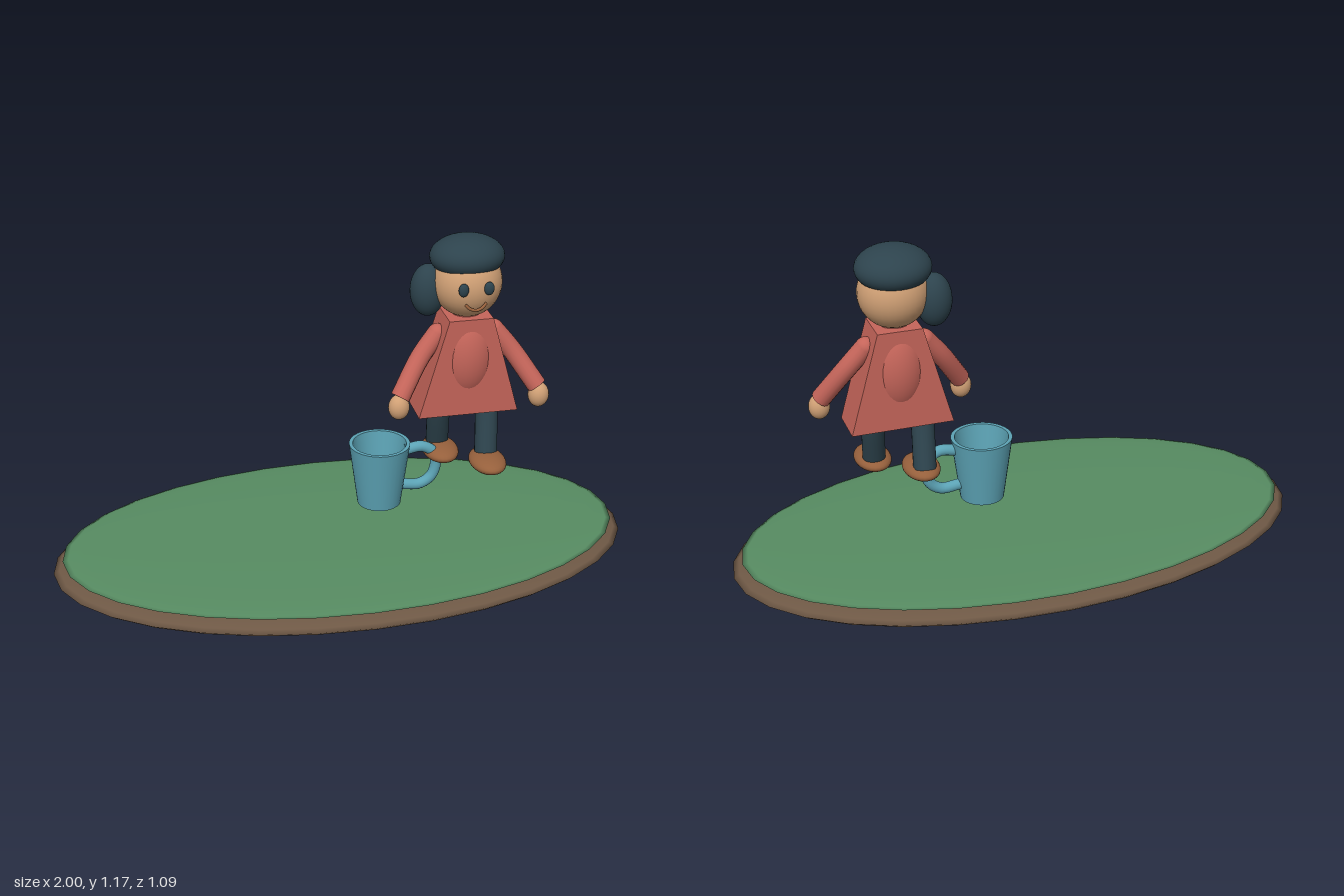
import * as THREE from 'three';

const mat = (name, color, side = THREE.FrontSide) => {
  const m = new THREE.MeshStandardMaterial({ color, side });
  m.name = name;
  return m;
};

export function createModel() {
  const model = new THREE.Group();
  const grass = mat('grass green', 0x578c62);
  const earth = mat('earth brown', 0x6e5845);
  const skin = mat('skin', 0xd0a075);
  const dark = mat('dark slate', 0x2d434d, THREE.DoubleSide);
  const red = mat('coral red', 0xc5655a);
  const leather = mat('shoe brown', 0x96603c);
  const teal = mat('mug teal', 0x5ca3b5);

  const add = (parent, name, geometry, material, pos = [0, 0, 0]) => {
    const mesh = new THREE.Mesh(geometry, material);
    mesh.name = name;
    mesh.position.set(...pos);
    parent.add(mesh);
    return mesh;
  };
  const ellipsoid = (parent, name, material, pos, radii, w = 32, h = 20) =>
    add(parent, name, new THREE.SphereGeometry(1, w, h).scale(...radii), material, pos);
  const tube = (parent, name, material, points, radius) => {
    const curve = new THREE.CatmullRomCurve3(points.map(p => new THREE.Vector3(...p)));
    return add(parent, name, new THREE.TubeGeometry(curve, 28, radius, 16), material);
  };

  // Ground: two flattened ellipsoids
  ellipsoid(model, 'earthBase', earth, [0, 0.06, 0], [1, 0.06, 0.545], 32, 16);
  ellipsoid(model, 'grassTop', grass, [0, 0.105, 0], [0.967, 0.018, 0.525], 32, 16);

  // Mug: hollow tapered cup with a looped handle
  const mug = new THREE.Group();
  mug.name = 'mug';
  mug.position.set(0.13, 0, 0);
  model.add(mug);
  const section = (name, pts) =>
    add(mug, name, new THREE.LatheGeometry(pts.map(p => new THREE.Vector2(...p)), 32), teal);
  section('mugBottom', [[0, 0.215], [0.075, 0.215]]);
  section('mugOuterWall', [[0.075, 0.215], [0.105, 0.44]]);
  section('mugRim', [[0.105, 0.44], [0.092, 0.44]]);
  section('mugInnerWall', [[0.092, 0.44], [0.066, 0.24]]);
  section('mugFloor', [[0.066, 0.24], [0, 0.24]]);
  tube(mug, 'mugHandle', teal,
    [[0.09, 0.405, 0], [0.15, 0.412, 0], [0.192, 0.385, 0], [0.2, 0.345, 0],
      [0.185, 0.295, 0], [0.145, 0.268, 0], [0.08, 0.272, 0]], 0.019);

  // Figure
  const figure = new THREE.Group();
  figure.name = 'figure';
  figure.position.set(0.42, 0, 0);
  model.add(figure);

  // Dress: a flared slab with a rounded torso swelling through it
  const dress = new THREE.Shape([[-0.172, 0.555], [0.172, 0.555], [0.075, 0.9], [-0.075, 0.9]]
    .map(p => new THREE.Vector2(...p)));
  add(figure, 'dress', new THREE.ExtrudeGeometry(dress, { depth: 0.146, bevelEnabled: false }),
    red, [0, 0, -0.073]);
  ellipsoid(figure, 'torso', red, [0, 0.755, 0], [0.1, 0.165, 0.094]);

  // Head, cap of hair and side bun
  ellipsoid(figure, 'head', skin, [0, 1.01, 0], [0.117, 0.118, 0.113]);
  const hair = add(figure, 'hairCap',
    new THREE.SphereGeometry(1, 32, 16, 0, Math.PI * 2, 0, Math.PI * 0.66)
      .scale(0.125, 0.072, 0.114), dark, [0, 1.097, -0.01]);
  hair.rotation.x = -0.07;
  ellipsoid(figure, 'sideBun', dark, [-0.125, 0.978, -0.03], [0.06, 0.09, 0.06]);

  // Face
  for (const s of [-1, 1])
    ellipsoid(figure, 'eye', dark, [s * 0.043, 1.024, 0.112], [0.017, 0.023, 0.012], 20, 14);
  tube(figure, 'mouth', leather,
    [[-0.036, 0.972, 0.108], [-0.02, 0.958, 0.113], [0, 0.952, 0.115],
      [0.02, 0.958, 0.113], [0.036, 0.972, 0.108]], 0.005);

  // Arms, mirrored
  for (const s of [-1, 1]) {
    const side = s > 0 ? 'left' : 'right';
    ellipsoid(figure, side + 'Shoulder', red, [s * 0.098, 0.832, 0], [0.033, 0.033, 0.033], 20, 14);
    tube(figure, side + 'Sleeve', red,
      [[s * 0.098, 0.832, 0], [s * 0.16, 0.755, 0.018], [s * 0.238, 0.638, 0.068]], 0.033);
    ellipsoid(figure, side + 'Hand', skin, [s * 0.243, 0.608, 0.075], [0.036, 0.044, 0.034], 24, 16);
  }

  // Striding legs: the left foot leads
  for (const [side, s, ankleZ, footZ] of [['left', 1, 0.06, 0.09], ['right', -1, -0.065, -0.028]]) {
    tube(figure, side + 'Leg', dark,
      [[s * 0.08, 0.6, 0], [s * 0.079, 0.52, ankleZ * 0.35], [s * 0.07, 0.39, ankleZ]], 0.039);
    ellipsoid(figure, side + 'Shoe', leather, [s * 0.068, 0.38, footZ], [0.062, 0.03, 0.093], 28, 16);
  }
  return model;
}
